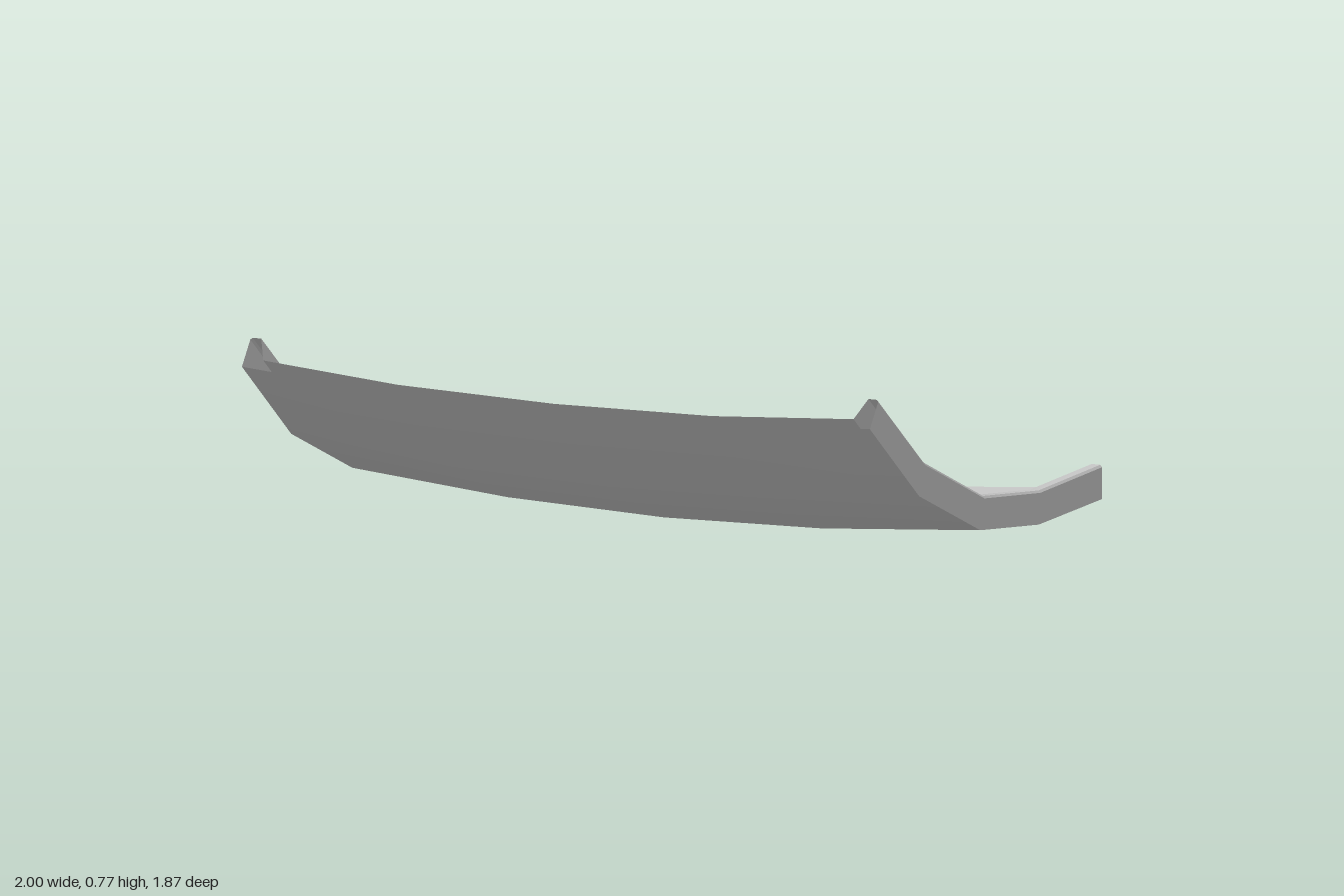
import * as THREE from 'three';
import { toCreasedNormals } from 'three/addons/utils/BufferGeometryUtils.js';

// Stations from front to back: [z, y] at the lowest line and at the curb crest
const STATIONS = [
  { low: [0.937, 0.667], high: [0.828, 0.778] },
  { low: [0.535, 0.36], high: [0.46, 0.5] },
  { low: [0.045, 0.14], high: [-0.01, 0.287] },
  { low: [-0.43, 0.045], high: [-0.45, 0.2] },
  { low: [-0.937, 0.003], high: [-0.937, 0.163] },
];
const CREST = 0.16; // curb height above the lowest line

// Cross-section lines as [x, height], listed so that faces point outward
const DECK = [[-0.94, 0.085], [-0.5, 0.047], [0, 0.035], [0.5, 0.047], [0.94, 0.085]];
const UNDERSIDE = [[1, 0.056], [0.5, 0.014], [0, 0], [-0.5, 0.014], [-1, 0.056]];
const LEFT_CURB = [[0.94, 0.085], [0.967, 0.16], [0.994, 0.16], [1, 0.153], [1, 0.056]];
const RIGHT_CURB = LEFT_CURB.map(([x, h]) => [-x, h]).reverse();

const material = new THREE.MeshStandardMaterial({ color: 0xcccccc, side: THREE.DoubleSide });

// Sweeps a cross-section line through all stations, leaving the ends open
function sweep(name, line) {
  const positions = [];
  const indices = [];
  const n = line.length;
  STATIONS.forEach(({ low, high }, i) => {
    line.forEach(([x, h], j) => {
      const t = h / CREST;
      positions.push(x, THREE.MathUtils.lerp(low[1], high[1], t), THREE.MathUtils.lerp(low[0], high[0], t));
      if (i < STATIONS.length - 1 && j < n - 1) {
        const a = i * n + j;
        indices.push(a, a + 1, a + n, a + 1, a + n + 1, a + n);
      }
    });
  });
  const geometry = new THREE.BufferGeometry();
  geometry.setAttribute('position', new THREE.Float32BufferAttribute(positions, 3));
  geometry.setIndex(indices);
  const mesh = new THREE.Mesh(toCreasedNormals(geometry, Math.PI / 6), material);
  mesh.name = name;
  return mesh;
}

export function createModel() {
  const group = new THREE.Group();
  group.name = 'curvedPanel';
  group.add(
    sweep('deck', DECK),
    sweep('underside', UNDERSIDE),
    sweep('leftCurb', LEFT_CURB),
    sweep('rightCurb', RIGHT_CURB),
  );
  return group;
}
